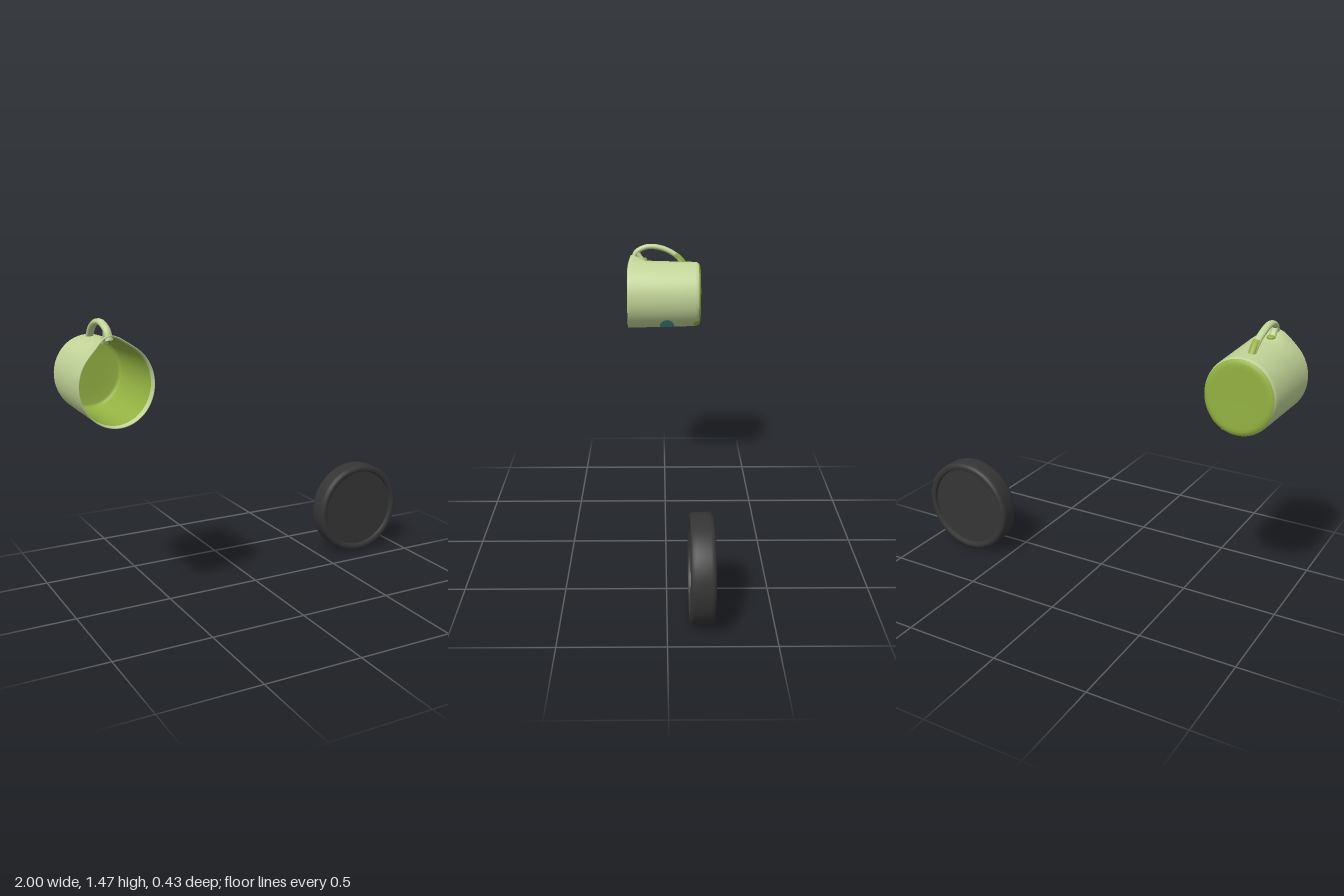
import * as THREE from 'three';
import { mergeVertices, toCreasedNormals } from 'three/addons/utils/BufferGeometryUtils.js';

const material = (name, color, side = THREE.FrontSide) => {
  const m = new THREE.MeshStandardMaterial({ color, side });
  m.name = name;
  return m;
};

const CENTRE = { x: -0.819, y: 1.185 };
const SPOUT_ANGLE = Math.PI / 2 + 0.1;

// Shape a round shell lying along z: slightly oval, with a pouring lip on top of the rim
function shapeMug(geometry) {
  const p = geometry.attributes.position;
  for (let i = 0; i < p.count; i++) {
    const x = p.getX(i), y = p.getY(i), z = p.getZ(i);
    const r = Math.hypot(x, y);
    const away = (Math.atan2(y, x) - SPOUT_ANGLE) / 0.34;
    const lip = Math.exp(-away * away) * THREE.MathUtils.smoothstep(z, 0.08, 0.21) * Math.min(1, r / 0.15);
    const k = r > 0 ? 1 + (0.03 * lip) / r : 1;
    p.setXYZ(i, CENTRE.x + x * k, CENTRE.y + y * k * 1.08, z - 0.018 * lip);
  }
  return geometry;
}

// Revolve [radius, z] pairs about the z axis
function revolve(profile, segments = 72) {
  const points = profile.map(([r, z]) => new THREE.Vector2(r, z));
  return new THREE.LatheGeometry(points, segments).rotateX(Math.PI / 2);
}

function mugShell(profile) {
  const g = shapeMug(revolve(profile));
  g.deleteAttribute('uv');
  g.deleteAttribute('normal');
  const merged = mergeVertices(g, 1e-5);
  merged.computeVertexNormals();
  return merged;
}

// Thin oval spot that hugs the mug wall and its rounded back edge
function wallSpot(angle, z, halfAngle, halfLength) {
  const g = new THREE.RingGeometry(0.001, 1, 28, 5);
  const p = g.attributes.position;
  for (let i = 0; i < p.count; i++) {
    const a = angle + p.getX(i) * halfAngle;
    const zz = z + p.getY(i) * halfLength;
    const edge = Math.min(0, zz + 0.175);
    const r = 0.1788 + 0.02 * zz - 14.7 * edge * edge;
    p.setXYZ(i, Math.cos(a) * r, Math.sin(a) * r, zz);
  }
  shapeMug(g).computeVertexNormals();
  return g;
}

// Tube through the points, a little wider than it is thick
function band(points, radius, steps) {
  const curve = new THREE.CatmullRomCurve3(points.map((p) => new THREE.Vector3(...p)));
  return new THREE.TubeGeometry(curve, steps, radius, 14)
    .translate(0.839, 0, 0).scale(1.22, 1, 1).translate(-0.839, 0, 0);
}

export function createModel() {
  const model = new THREE.Group();
  const pale = material('pale green', 0xc1d497);
  const green = material('leaf green', 0x93b242);
  const spotGreen = material('leaf green spot', 0x93b242, THREE.DoubleSide);
  const teal = material('teal', 0x4a9490, THREE.DoubleSide);
  const black = material('charcoal', 0x353535);

  const add = (parent, name, geometry, mat) => {
    const mesh = new THREE.Mesh(geometry, mat);
    mesh.name = name;
    parent.add(mesh);
    return mesh;
  };

  // Mug lying on its side, mouth to the front
  const mug = new THREE.Group();
  mug.name = 'mug';
  model.add(mug);
  add(mug, 'mugBase', mugShell([
    [0, -0.206], [0.07, -0.206], [0.13, -0.207], [0.147, -0.207], [0.159, -0.203], [0.167, -0.196],
  ]), green);
  add(mug, 'mugWall', mugShell([
    [0.167, -0.196], [0.171, -0.187], [0.173, -0.175], [0.175, -0.09], [0.1768, 0], [0.178, 0.06],
    [0.179, 0.1], [0.1795, 0.13], [0.18, 0.16], [0.181, 0.19], [0.1815, 0.212],
    [0.1795, 0.215], [0.177, 0.212], [0.175, 0.195], [0.174, 0.182],
  ]), pale);
  add(mug, 'mugInside', mugShell([
    [0.174, 0.182], [0.1725, 0.14], [0.1715, 0.1], [0.17, 0.05], [0.167, -0.09],
    [0.165, -0.165], [0.159, -0.18], [0.147, -0.187], [0.08, -0.188], [0, -0.188],
  ]), green);
  add(mug, 'tealSpot', wallSpot(-1.0, -0.012, 0.33, 0.042), teal);
  add(mug, 'baseSpot', wallSpot(-0.97, -0.185, 0.2, 0.02), spotGreen);

  // Handle arching from the lip to the back of the wall
  add(mug, 'handle', band([
    [-0.838, 1.385, 0.182], [-0.84, 1.428, 0.164], [-0.842, 1.455, 0.115], [-0.842, 1.46, 0.07],
    [-0.842, 1.447, 0.005], [-0.838, 1.412, -0.062], [-0.834, 1.36, -0.112],
  ], 0.015, 48), pale);
  add(mug, 'handleBrace', band([
    [-0.84, 1.432, 0.16], [-0.839, 1.405, 0.146], [-0.838, 1.37, 0.118],
  ], 0.014, 12), pale);

  // Green ends where the handle meets the wall
  add(mug, 'handleBackFoot', band([
    [-0.837, 1.416, -0.061], [-0.835, 1.396, -0.086], [-0.834, 1.362, -0.115],
  ], 0.0145, 12), green);
  const frontFoot = add(mug, 'handleFrontFoot', new THREE.SphereGeometry(1, 16, 10), green);
  frontFoot.scale.set(0.021, 0.012, 0.024);
  frontFoot.position.set(-0.836, 1.386, 0.124);

  // Round lid standing on edge, recessed on both faces
  const half = 0.0575;
  const rim = [
    [0, half - 0.018], [0.217, half - 0.018], [0.221, half - 0.003], [0.226, half], [0.24, half],
    [0.249, half - 0.004], [0.255, half - 0.012], [0.257, half - 0.024],
  ];
  const profile = [...rim.map(([r, z]) => [r, -z]), ...[...rim].reverse()];
  const lid = add(model, 'lid', toCreasedNormals(revolve(profile), 0.6), black);
  lid.position.set(0.743, 0.26, -0.16);

  return model;
}
